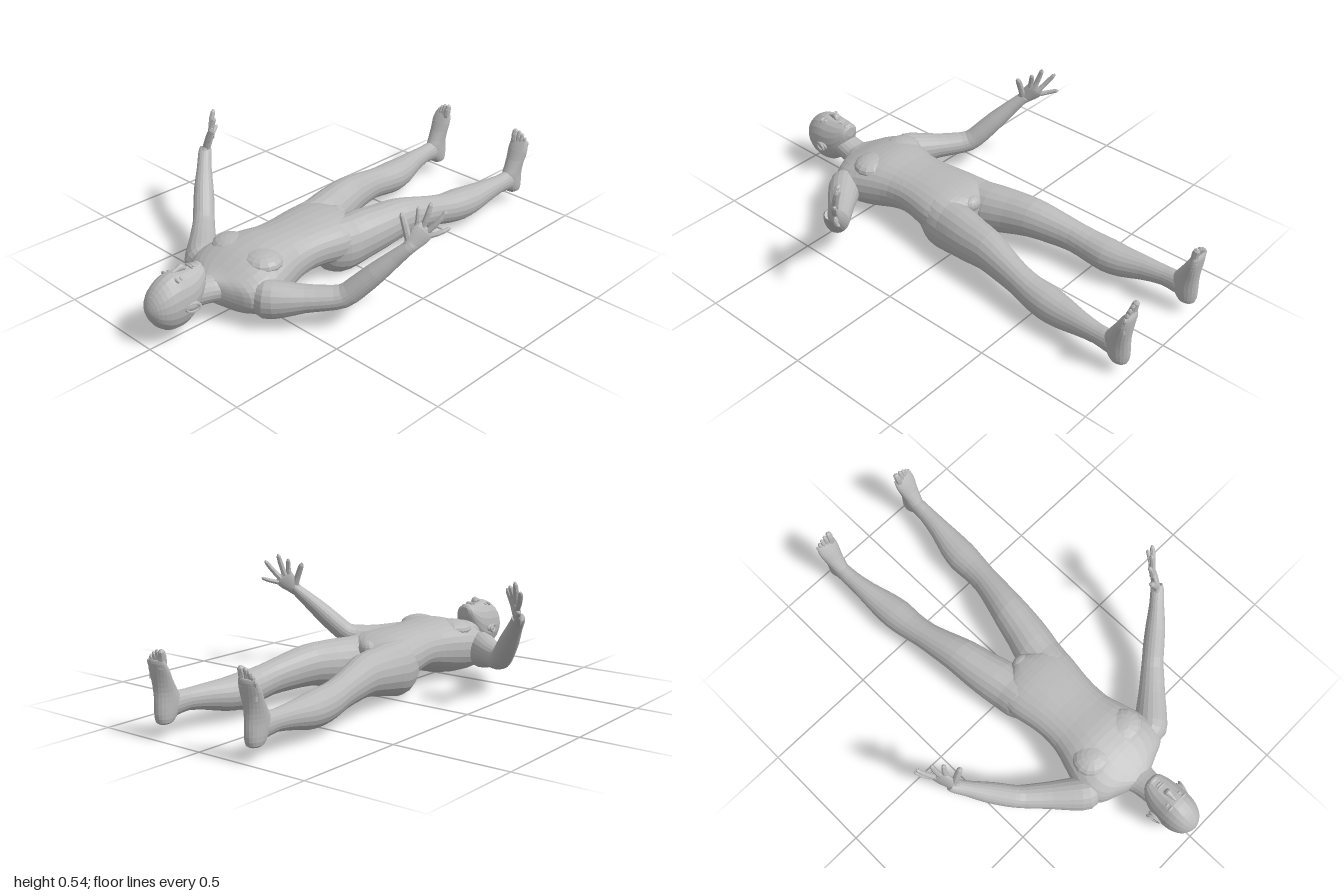
import * as THREE from 'three';

const skin = new THREE.MeshStandardMaterial({ color: 0xb9b9b9, flatShading: true });
skin.name = 'grey skin';

const Y = new THREE.Vector3(0, 1, 0);
const Z = new THREE.Vector3(0, 0, 1);
const SIDES = 20;

// Catmull-Rom interpolation of whole cross-section rows
function refine(rows, sub) {
  const out = [];
  const last = rows.length - 1;
  for (let i = 0; i < last; i++) {
    const [a, b, c, d] = [rows[Math.max(i - 1, 0)], rows[i], rows[i + 1], rows[Math.min(i + 2, last)]];
    for (let k = 0; k < sub; k++) {
      const t = k / sub;
      out.push(b.map((p, m) => {
        const slope = c[m] - a[m];
        const square = 2 * a[m] - 5 * p + 4 * c[m] - d[m];
        const cube = 3 * p - a[m] - 3 * c[m] + d[m];
        return p + 0.5 * t * (slope + t * (square + t * cube));
      }));
    }
  }
  out.push(rows[last]);
  return out;
}

// Closed loft through rows [x, y, z, halfWidth, halfDepth]; rings face the path, or a fixed axis
function loft(name, rows, { hint = Y, axis = null, sub = 2, sides = SIDES, power = 1 } = {}) {
  const rings = refine(rows, sub);
  const pos = [], idx = [];
  const at = (i) => new THREE.Vector3(...rings[Math.min(Math.max(i, 0), rings.length - 1)].slice(0, 3));
  const bend = (v) => Math.sign(v) * Math.pow(Math.abs(v), power);
  rings.forEach((r, i) => {
    const T = axis ? axis.clone() : at(i + 1).sub(at(i - 1)).normalize();
    const U = hint.clone().cross(T).normalize();
    const V = T.clone().cross(U);
    for (let j = 0; j < sides; j++) {
      const a = (j / sides) * Math.PI * 2;
      const p = at(i).addScaledVector(U, bend(Math.cos(a)) * r[3]).addScaledVector(V, bend(Math.sin(a)) * r[4]);
      pos.push(p.x, p.y, p.z);
    }
  });
  const n = rings.length;
  for (let i = 0; i < n - 1; i++) {
    for (let j = 0; j < sides; j++) {
      const a = i * sides + j, b = i * sides + (j + 1) % sides;
      idx.push(a, b, b + sides, a, b + sides, a + sides);
    }
  }
  const start = n * sides, end = start + 1;
  pos.push(...at(0).toArray(), ...at(n - 1).toArray());
  for (let j = 0; j < sides; j++) {
    const k = (j + 1) % sides, top = (n - 1) * sides;
    idx.push(start, k, j, end, top + j, top + k);
  }
  const g = new THREE.BufferGeometry();
  g.setAttribute('position', new THREE.Float32BufferAttribute(pos, 3));
  g.setIndex(idx);
  g.computeVertexNormals();
  const mesh = new THREE.Mesh(g, skin);
  mesh.name = name;
  return mesh;
}

function blob(name, x, y, z, rx, ry, rz) {
  const mesh = new THREE.Mesh(new THREE.SphereGeometry(1, 14, 10), skin);
  mesh.position.set(x, y, z);
  mesh.scale.set(rx, ry, rz);
  mesh.name = name;
  return mesh;
}

// Rows [z, halfWidth, top, bottom] to centred loft rows
const centred = (rows) => rows.map(([z, w, t, b]) => [0, (t + b) / 2, z, w, (t - b) / 2]);

// Rows of the left side, mirrored when s is -1
const sided = (s, rows) => rows.map(([x, ...rest]) => [s * x, ...rest]);

// Tapered finger or toe between two points, with a rounded tip
function digit(name, from, to, r, hint, lift) {
  const a = new THREE.Vector3(...from), b = new THREE.Vector3(...to);
  const row = (t, k) => {
    const p = a.clone().lerp(b, t).addScaledVector(lift, Math.sin(t * Math.PI));
    return [p.x, p.y, p.z, r * k, r * k];
  };
  return loft(name, [row(0, 1.1), row(0.35, 1), row(0.65, 0.95), row(0.9, 0.8), row(1, 0.3)], { hint, sides: 8, sub: 1 });
}

function makeLeg(s) {
  const leg = new THREE.Group();
  leg.name = s > 0 ? 'leftLeg' : 'rightLeg';
  const legRows = [
    [0.08, 0.14, 0.19, 0.045, 0.06], [0.085, 0.13, 0.15, 0.075, 0.1], [0.095, 0.125, 0.09, 0.092, 0.12],
    [0.1, 0.124, 0.03, 0.096, 0.117], [0.11, 0.135, -0.04, 0.099, 0.11], [0.13, 0.145, -0.13, 0.09, 0.1],
    [0.147, 0.155, -0.23, 0.08, 0.088], [0.168, 0.145, -0.33, 0.068, 0.078], [0.185, 0.132, -0.42, 0.06, 0.07],
    [0.195, 0.117, -0.5, 0.064, 0.071], [0.2, 0.11, -0.58, 0.07, 0.073], [0.208, 0.11, -0.66, 0.063, 0.066],
    [0.22, 0.12, -0.75, 0.047, 0.053], [0.228, 0.127, -0.84, 0.037, 0.043], [0.23, 0.125, -0.9, 0.035, 0.048],
    [0.23, 0.12, -0.95, 0.03, 0.04],
  ];
  leg.add(loft('thighAndCalf', sided(s, legRows), { axis: Z.clone().negate() }));
  // Foot stands on its heel, sole towards -z
  const footRows = [
    [0.23, 0.056, -0.95, 0.012, 0.018], [0.23, 0.066, -0.95, 0.03, 0.036], [0.23, 0.1, -0.94, 0.036, 0.053],
    [0.23, 0.145, -0.933, 0.037, 0.059], [0.231, 0.185, -0.942, 0.039, 0.048], [0.231, 0.225, -0.955, 0.044, 0.037],
    [0.231, 0.265, -0.967, 0.049, 0.028], [0.23, 0.295, -0.977, 0.046, 0.019], [0.229, 0.308, -0.98, 0.04, 0.012],
  ];
  leg.add(loft('foot', sided(s, footRows), { axis: Y, hint: Z }));
  const toes = [[0.2, 0.352, 0.016], [0.223, 0.349, 0.011], [0.241, 0.339, 0.0105], [0.257, 0.325, 0.01], [0.27, 0.308, 0.0095]];
  const toeLift = new THREE.Vector3(0, 0, 0.006);
  for (const [x, top, r] of toes) {
    const root = [s * (x * 0.8 + 0.046), top - 0.075, -0.976];
    leg.add(digit('toe', root, [s * x, top, -0.985], r, Z, toeLift));
  }
  return leg;
}

function makeArm(s) {
  const arm = new THREE.Group();
  arm.name = s > 0 ? 'leftArm' : 'rightArm';
  const armRows = [
    [0.14, 0.13, 0.605, 0.03, 0.055], [0.19, 0.125, 0.58, 0.068, 0.08], [0.245, 0.128, 0.535, 0.068, 0.073],
    [0.31, 0.135, 0.478, 0.058, 0.056], [0.37, 0.14, 0.425, 0.052, 0.05], [0.42, 0.152, 0.38, 0.047, 0.047],
    [0.46, 0.195, 0.343, 0.046, 0.046], [0.51, 0.258, 0.298, 0.042, 0.042], [0.56, 0.322, 0.25, 0.032, 0.033],
    [0.595, 0.366, 0.215, 0.029, 0.026], [0.605, 0.382, 0.2, 0.026, 0.022],
  ];
  arm.add(loft('upperArmAndForearm', sided(s, armRows)));
  // Hand: knuckle line runs from little finger up to index
  const across = new THREE.Vector3(-s * 0.045, 0.05, 0.05);
  const palmRows = [
    [0.593, 0.36, 0.218, 0.02, 0.026], [0.603, 0.385, 0.197, 0.017, 0.034], [0.613, 0.408, 0.176, 0.016, 0.042],
    [0.621, 0.428, 0.158, 0.014, 0.042], [0.627, 0.44, 0.147, 0.007, 0.033],
  ];
  arm.add(loft('palm', sided(s, palmRows), { hint: across }));
  const lift = new THREE.Vector3(s * 0.004, -0.002, 0.002);
  const fingers = [
    ['indexFinger', [0.6, 0.445, 0.172], [0.588, 0.516, 0.155], 0.0115],
    ['middleFinger', [0.613, 0.437, 0.16], [0.627, 0.538, 0.128], 0.012],
    ['ringFinger', [0.628, 0.422, 0.147], [0.675, 0.508, 0.092], 0.0115],
    ['littleFinger', [0.636, 0.405, 0.138], [0.678, 0.43, 0.072], 0.01],
    ['thumb', [0.592, 0.39, 0.207], [0.547, 0.495, 0.205], 0.0145],
  ];
  for (const [name, a, b, r] of fingers) {
    const [root, tip] = sided(s, [a, b]);
    arm.add(digit(name, root, tip, r, across, lift));
  }
  return arm;
}

function makeHead() {
  const head = new THREE.Group();
  head.name = 'head';
  head.add(loft('skull', centred([
    [0.735, 0.022, 0.272, 0.225], [0.745, 0.043, 0.281, 0.195], [0.77, 0.06, 0.283, 0.135], [0.8, 0.071, 0.284, 0.09],
    [0.84, 0.078, 0.286, 0.062], [0.88, 0.08, 0.29, 0.053], [0.92, 0.077, 0.278, 0.06], [0.955, 0.065, 0.254, 0.082],
    [0.98, 0.046, 0.224, 0.113], [0.994, 0.022, 0.193, 0.145], [0.998, 0.005, 0.175, 0.163],
  ]), { axis: Z }));
  head.add(loft('nose', [
    [0, 0.285, 0.872, 0.006, 0.006], [0, 0.29, 0.85, 0.009, 0.01], [0, 0.294, 0.828, 0.015, 0.015],
    [0, 0.288, 0.816, 0.014, 0.01], [0, 0.284, 0.812, 0.006, 0.004],
  ], { axis: Z.clone().negate(), sides: 10 }));
  head.add(blob('upperLip', 0, 0.283, 0.79, 0.023, 0.008, 0.006));
  head.add(blob('lowerLip', 0, 0.282, 0.779, 0.019, 0.008, 0.006));
  head.add(blob('chin', 0, 0.272, 0.751, 0.025, 0.013, 0.014));
  for (const s of [-1, 1]) {
    head.add(blob('eye', s * 0.032, 0.271, 0.86, 0.014, 0.009, 0.007));
    head.add(blob('brow', s * 0.032, 0.272, 0.88, 0.022, 0.01, 0.007));
    // Ear: shell with a raised rim
    head.add(blob('earShell', s * 0.083, 0.166, 0.845, 0.009, 0.017, 0.03));
    const rim = new THREE.Mesh(new THREE.TorusGeometry(0.02, 0.005, 6, 16), skin);
    rim.name = 'earRim';
    rim.position.set(s * 0.091, 0.164, 0.85);
    rim.rotation.y = s * (Math.PI / 2 - 0.25);
    rim.scale.set(1.4, 0.85, 1);
    head.add(rim);
  }
  return head;
}

export function createModel() {
  const model = new THREE.Group();
  model.name = 'lyingFigure';
  // Trunk from crotch to collar
  model.add(loft('torso', centred([
    [-0.03, 0.03, 0.225, 0.11], [0.0, 0.09, 0.24, 0.08], [0.04, 0.165, 0.252, 0.06], [0.09, 0.18, 0.26, 0.05],
    [0.14, 0.176, 0.262, 0.05], [0.2, 0.165, 0.262, 0.06], [0.27, 0.157, 0.26, 0.064], [0.35, 0.16, 0.263, 0.045],
    [0.42, 0.18, 0.27, 0.024], [0.48, 0.2, 0.268, 0.014], [0.55, 0.218, 0.254, 0.013], [0.6, 0.218, 0.236, 0.024],
    [0.645, 0.185, 0.215, 0.045], [0.67, 0.13, 0.205, 0.062], [0.695, 0.07, 0.198, 0.08],
  ]), { axis: Z, power: 0.88, sides: 28 }));
  model.add(loft('neck', [
    [0, 0.13, 0.62, 0.095, 0.075], [0, 0.137, 0.67, 0.078, 0.062], [0, 0.146, 0.71, 0.064, 0.057],
    [0, 0.155, 0.75, 0.06, 0.058], [0, 0.165, 0.8, 0.058, 0.06],
  ], { axis: Z }));
  model.add(makeHead());
  model.add(blob('groin', 0, 0.205, -0.005, 0.045, 0.035, 0.035));
  for (const s of [-1, 1]) {
    model.add(blob('chestMuscle', s * 0.09, 0.222, 0.5, 0.088, 0.042, 0.08));
    model.add(makeArm(s), makeLeg(s));
  }
  return model;
}
